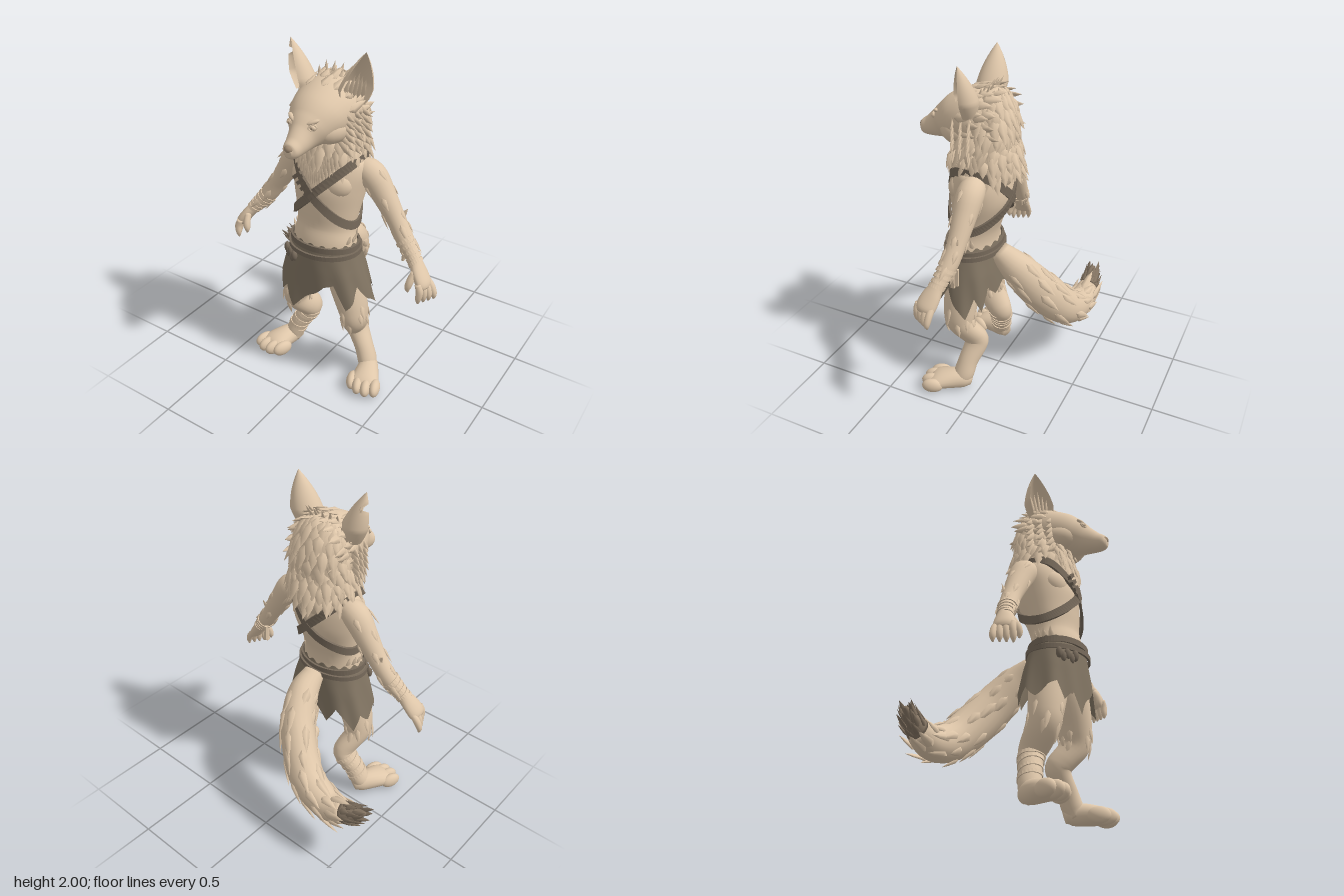
import * as THREE from 'three';
import { mergeGeometries } from 'three/addons/utils/BufferGeometryUtils.js';

const V = (x, y, z) => new THREE.Vector3(x, y, z);
const Y = V(0, 1, 0), Z = V(0, 0, 1);
const mat = (name, color) => new THREE.MeshStandardMaterial({ name, color, side: THREE.DoubleSide });

let seed = 7;
const rnd = () => (seed = (seed * 16807) % 2147483647) / 2147483647;

// Grid of points (rows x columns) to an indexed geometry
function grid(rows, cols, point, wrap) {
  const pos = [], idx = [];
  const n = wrap ? cols : cols + 1;
  for (let i = 0; i <= rows; i++)
    for (let j = 0; j < n; j++) pos.push(...point(i / rows, j / cols).toArray());
  for (let i = 0; i < rows; i++)
    for (let j = 0; j < cols; j++) {
      const a = i * n + j, b = i * n + (j + 1) % n;
      idx.push(a, b, a + n, b, b + n, a + n);
    }
  const g = new THREE.BufferGeometry();
  g.setAttribute('position', new THREE.Float32BufferAttribute(pos, 3));
  g.setIndex(idx);
  g.computeVertexNormals();
  return g;
}

// Smooth elliptical body along points [x, y, z, radiusU, radiusV]
function body(pts, ref) {
  const path = new THREE.CatmullRomCurve3(pts.map(p => V(p[0], p[1], p[2])), false, 'catmullrom');
  const size = new THREE.CatmullRomCurve3(pts.map(p => V(p[3], p[4] ?? p[3], 0)), false, 'catmullrom');
  const at = (t, a) => {
    const dir = path.getTangent(t), r = size.getPoint(t);
    const u = ref.clone().cross(dir).normalize(), v = dir.clone().cross(u);
    const c = Math.cos(a), s = Math.sin(a);
    const p = path.getPoint(t).addScaledVector(u, r.x * c).addScaledVector(v, r.y * s);
    return { p, dir, n: u.multiplyScalar(c).addScaledVector(v, s).normalize() };
  };
  // First and last rows close to the path, forming the end caps
  const geometry = (t0 = 0, t1 = 1, rows = 32, sides = 20) => grid(rows + 2, sides, (f, k) => {
    const row = Math.round(f * (rows + 2));
    if (row === 0) return path.getPoint(t0);
    if (row === rows + 2) return path.getPoint(t1);
    return at(t0 + (t1 - t0) * (row - 1) / rows, k * Math.PI * 2).p;
  }, true);
  return { at, geometry };
}

// Flat band of width w and thickness h following f(s) = { p, n }
function band(f, steps, w, h) {
  const corner = [[-0.5, 0], [0.5, 0], [0.5, 1], [-0.5, 1]];
  const g = grid(steps, 4, (s, k) => {
    const { p, n } = f(s), d = f(s + 0.002).p.clone().sub(f(s - 0.002).p).normalize();
    const c = corner[Math.round(k * 4) % 4], b = d.cross(n).normalize();
    return p.clone().addScaledVector(b, c[0] * w).addScaledVector(n, c[1] * h);
  }, true).toNonIndexed();
  g.computeVertexNormals();
  return g;
}

// Pointed lock of fur
const leaf = new THREE.LatheGeometry([[0, -0.2], [1, 0.1], [0.65, 0.6], [0, 1]].map(p => new THREE.Vector2(...p)), 5);
function lock(p, dir, n, len, w) {
  const y = dir.clone().normalize(), x = y.clone().cross(n).normalize(), z = x.clone().cross(y);
  const m = new THREE.Matrix4().makeBasis(x.multiplyScalar(w), y.multiplyScalar(len), z.multiplyScalar(w * 0.4));
  return leaf.clone().applyMatrix4(m.setPosition(p));
}

// Rows of locks over a body, lying along its direction (flow 1) or against it (flow -1)
function fur(surf, t0, t1, rows, per, len, w, lift, flow = 1) {
  const out = [];
  for (let i = 0; i < rows; i++)
    for (let j = 0; j < per; j++) {
      const t = t0 + (t1 - t0) * (i + rnd() * 0.5) / rows;
      const q = surf.at(t, (j + (i % 2) / 2 + (rnd() - 0.5) * 0.5) / per * Math.PI * 2);
      const d = q.dir.clone().multiplyScalar(flow).addScaledVector(q.n, lift * (0.5 + rnd()));
      out.push(lock(q.p, d, q.n, len * (0.75 + rnd() * 0.5), w));
    }
  return mergeGeometries(out);
}

export function createModel() {
  const M = {
    fur: mat('tan fur', 0xdfc7aa), nose: mat('brown nose', 0xa8927a), tip: mat('dark tail tip', 0x857563),
    cloth: mat('brown cloth', 0x817462), strap: mat('dark leather', 0x776a5b),
  };
  const root = new THREE.Group();
  root.name = 'wolfWarrior';
  root.position.x = 0.02;
  const add = (name, g, m = M.fur) => {
    const mesh = new THREE.Mesh(g, m);
    mesh.name = name;
    root.add(mesh);
    return mesh;
  };
  const ball = (name, p, r, m) => {
    const b = add(name, new THREE.SphereGeometry(1, 20, 14), m);
    b.position.set(...p);
    b.scale.set(...r);
    return b;
  };
  const side = (pts, s) => pts.map(p => [p[0] * s, ...p.slice(1)]);

  // Torso
  const torso = body([[0, 1.43, .07, .1, .09], [0, 1.4, .07, .2, .13], [0, 1.33, .08, .225, .155], [0, 1.22, .095, .21, .17],
    [0, 1.1, .115, .188, .147], [0, 1, .13, .175, .13], [0, .9, .145, .19, .14], [0, .78, .14, .17, .14], [0, .68, .13, .1, .09]], Z);
  add('torso', torso.geometry(0, 1, 48, 32));

  // Mane and ruff around the head and neck
  const mane = body([[0, 1.82, .06, .05], [0, 1.76, .04, .13, .11], [0, 1.65, .03, .165, .13], [0, 1.55, .055, .18, .165],
    [0, 1.45, .055, .178, .175], [0, 1.37, .055, .16, .155], [0, 1.29, .1, .1, .1]], Z);
  add('mane', mane.geometry());
  add('maneFur', fur(mane, .06, .8, 11, 18, .105, .032, .32));
  const ruff = [];
  for (let i = 0; i < 6; i++)
    for (let j = -3; j <= 3; j++)
      ruff.push(lock(V(j * (.04 - i * .006), 1.48 - i * .022, .225 + i * .003), V(j * .06, -1, .2), Z, .095, .024));
  for (let j = -4; j <= 4; j++) ruff.push(lock(V(j * .018, 1.8, .07 - (j & 1) * .03), V(j * .12, 1, -.5), Z, .07 + (j & 1) * .02, .018));
  add('chestRuff', mergeGeometries(ruff));

  // Wedge-shaped head and muzzle
  const head = body([[0, 1.68, -.06, .07, .08], [0, 1.68, 0, .15, .14], [0, 1.67, .1, .18, .163], [0, 1.65, .2, .162, .144],
    [0, 1.617, .28, .12, .112], [0, 1.588, .34, .076, .084], [0, 1.562, .4, .056, .06], [0, 1.55, .445, .043, .044], [0, 1.548, .466, .02, .022]], Y);
  add('head', head.geometry(0, 1, 48, 32));
  add('crownFur', fur(head, .13, .33, 4, 14, .09, .026, .18, -1));
  ball('nose', [0, 1.565, .448], [.029, .022, .024], M.nose);

  // Tail with a dark tip
  const tail = body([[.01, .86, -.01, .06], [0, .76, -.13, .09, .1], [-.07, .6, -.25, .1, .12], [-.22, .42, -.35, .1, .112],
    [-.4, .34, -.38, .086, .092], [-.55, .38, -.39, .058, .062], [-.67, .45, -.38, .01]], Y);
  add('tail', tail.geometry(0, .82));
  add('tailTip', tail.geometry(.82, 1, 10), M.tip);
  add('tailFur', fur(tail, .15, .8, 8, 6, .12, .026, .03));
  add('tailTipFur', fur(tail, .83, .95, 3, 8, .08, .018, .06), M.tip);

  for (const s of [-1, 1]) {
    const hand = s < 0 ? 'right' : 'left';
    const P = name => hand + name;

    // Ears, cupped and open to the front; the right one is notched
    const face = V(.6 * s, 0, .8), across = V(face.z, 0, -face.x);
    add(P('Ear'), grid(20, 24, (t, k) => {
      const w = .096 * (1 - Math.pow(t, 2.1)) * (.7 + .3 * Math.min(1, t / .3));
      const notch = s < 0 && k < .2 && Math.abs(t - .72) < .06 ? .65 : 1;
      const a = (k - .5) * 4.1 * notch;
      return V(s * (.145 + .08 * t), 1.72 + .28 * t, .11)
        .addScaledVector(across, w * Math.sin(a)).addScaledVector(face, -w * .9 * Math.cos(a));
    }));
    const tufts = [];
    for (let j = -2; j <= 2; j++) tufts.push(lock(V(s * .155, 1.77, .11).addScaledVector(across, j * .022), V(s * .3, 1, j * .05), Z, .13 - Math.abs(j) * .02, .016));

    // Cheek fur
    for (let i = 0; i < 6; i++)
      for (let j = 0; j < 3; j++)
        tufts.push(lock(V(s * (.168 - j * .016 - Math.abs(i - 3) * .006), 1.7 - i * .034, .08 + j * .055), V(s, -.55 - i * .1, -.25), Z, .105, .026));
    add(P('EarAndCheekFur'), mergeGeometries(tufts));
    ball(P('Cheek'), [s * .085, 1.6, .2], [.075, .075, .11]).rotation.y = -s * .4;

    // Eyes with lids, resting on the head
    const eye = head.at(.575, s > 0 ? .72 : Math.PI - .72).p;
    const onEye = (x, y, z) => [eye.x + s * x, eye.y + y, eye.z + z];
    ball(P('Eye'), onEye(0, 0, .002), [.018, .013, .011]);
    ball(P('Pupil'), onEye(0, 0, .01), [.006, .007, .004], M.nose);
    const lid = add(P('Eyelid'), new THREE.TorusGeometry(.02, .005, 8, 20));
    lid.position.set(...onEye(0, .001, .003));
    lid.rotation.set(-.2, s * .5, s * .3);
    lid.scale.y = .7;
    ball(P('Brow'), onEye(-.008, .024, -.01), [.038, .012, .015]).rotation.set(0, s * .5, s * .35);
    ball(P('ChestMuscle'), [s * .085, 1.28, .165], [.105, .09, .078]);

    // Arms
    const arm = body(side([[.16, 1.345, .05, .06], [.235, 1.32, .045, .076], [.31, 1.22, .045, .066], [.39, 1.1, .05, .053],
      [.46, 1, .065, .05], [.535, .915, .09, .036, .04], [.58, .86, .11, .033, .055], [.615, .81, .125, .032, .058], [.63, .785, .13, .02, .04]], s), Z);
    add(P('Arm'), arm.geometry());
    add(P('ArmFur'), fur(arm, .14, .6, 5, 3, .075, .017, .06));
    add(P('ElbowTuft'), lock(V(s * .41, 1.1, .03), V(s * .5, .9, -.2), Z, .07, .02));
    add(P('WristWrap'), band(q => {
      const a = arm.at(.5 + .16 * q, q * 28);
      return { p: a.p.addScaledVector(a.n, .001), n: a.n };
    }, 90, .02, .005));
    for (let j = 0; j < 4; j++) {
      const z = .085 + j * .029, x = .022 - j * .016;
      add(P('Finger'), body(side([[.605, .825, z, .018], [.632 + x * .5, .785, z + .004, .02], [.642 + x, .74, z + .008, .017],
        [.64 + x, .71, z + .008, .005]], s), Z).geometry(0, 1, 12, 10));
    }
    add(P('Thumb'), body(side([[.565, .87, .14, .02], [.555, .82, .17, .021], [.548, .785, .178, .017], [.55, .76, .178, .005]], s), Z).geometry(0, 1, 12, 10));

    // Bent hind-style legs and paws
    const leg = body(side([[.1, .82, .14, .085, .11], [.14, .68, .15, .1, .11], [.188, .52, .155, .086, .1], [.203, .42, .145, .07, .09],
      [.168, .32, .072, .062, .08], [.175, .27, .062, .06, .07], [.23, .18, .085, .054, .06], [.265, .1, .1, .055, .062], [.28, .05, .12, .05, .05]], s), Z);
    add(P('Leg'), leg.geometry(0, 1, 44, 24));
    add(P('LegFur'), fur(leg, .25, .4, 3, 4, .075, .018, .04));
    if (s < 0) add('shinWrap', band(q => {
      const a = leg.at(.6 + .24 * q, q * 26);
      return { p: a.p.addScaledVector(a.n, .001), n: a.n };
    }, 90, .022, .005));
    add(P('Foot'), body(side([[.255, .05, .055, .03, .035], [.27, .06, .085, .05, .055], [.29, .064, .13, .062, .062], [.32, .058, .21, .08, .055],
      [.335, .046, .26, .09, .044], [.34, .042, .285, .06, .03]], s), Y).geometry(0, 1, 20, 20));
    [[.257, .258], [.307, .275], [.358, .271], [.403, .245]].forEach(([x, z]) =>
      ball(P('Toe'), [s * x, .047, z], [.033, .046, .064]).rotation.y = s * .35);

    // Crossed chest straps running around the torso
    add(P('ShoulderStrap'), band(q => {
      const a = q * Math.PI * 2;
      let lo = .06, hi = .8;
      for (let i = 0; i < 24; i++) {
        const t = (lo + hi) / 2, p = torso.at(t, a).p;
        if (p.y - s * p.x * 1.05 > 1.225) lo = t; else hi = t;
      }
      const c = torso.at(lo, a);
      return { p: c.p.addScaledVector(c.n, .006), n: c.n };
    }, 80, .047, .014), M.strap);
  }

  // Strap loops
  for (let i = 0; i < 4; i++) {
    const b = add('strapLoop', new THREE.BoxGeometry(.06, .02, .02), M.strap);
    b.position.set(-.015 - i * .025, 1.24 + i * .027, .279 - i * .003);
    b.rotation.z = .75;
  }

  // Ragged skirt, growing squarish in plan below so that it clears the thighs
  const hem = [.58, .68, .6, .55, .7, .68, .6, .48, .6, .54, .64, .62, .56, .62, .52, .6, .66, .56, .66, .62, .68, .56, .64, .52];
  add('skirt', grid(12, 120, (v, k) => {
    const a = k * Math.PI * 2, f = k * 24, i = Math.floor(f) % 24;
    const low = THREE.MathUtils.lerp(hem[i], hem[(i + 1) % 24], f - Math.floor(f));
    const y = THREE.MathUtils.lerp(.925 + .01 * Math.sin(a * 17), low, v), drop = Math.max(0, (.925 - y) / .42);
    const fold = 1 + .03 * drop * Math.sin(a * 9 + drop * 3);
    const square = c => Math.sign(c) * Math.pow(Math.abs(c), 1 - .24 * Math.min(1, drop * 2.5));
    return V(square(Math.cos(a)) * (.194 + .106 * drop) * fold, y, .145 - .01 * drop + square(Math.sin(a)) * (.144 + .042 * drop) * fold);
  }, true), M.cloth);

  // Belts, fur over the waistband and hip pouch
  const waist = (a, y, grow) => V(Math.cos(a) * (.194 + grow), y, .145 + Math.sin(a) * (.144 + grow));
  [[.902, .004, .034], [.866, .016, .028]].forEach(([y, grow, w], i) => add('belt', band(q => {
    const a = -q * Math.PI * 2;
    return { p: waist(a, y + .008 * Math.sin(a + i * 2), grow), n: V(Math.cos(a), 0, Math.sin(a)) };
  }, 64, w, .012), M.strap));
  const waistFur = [];
  for (const a of [-.5, -.25, 0, .3, 2.85, 3.15, 3.4, 3.65])
    waistFur.push(lock(waist(a, .93, -.012), V(Math.cos(a) * .3, 1, 0), V(Math.cos(a), 0, Math.sin(a)), .05 + rnd() * .02, .016));
  add('waistFur', mergeGeometries(waistFur));
  for (let i = 0; i < 5; i++) ball('pouchBead', [-.2 + i * .022, .815 - (i % 2) * .02, .238 + i * .014], [.018, .032, .018], M.strap);

  // Loose wrap end hanging from the left wrist
  for (let i = 0; i < 2; i++) {
    const b = add('wrapEnd', new THREE.BoxGeometry(.014, .1, .022));
    b.position.set(.44 + i * .012, .92 - i * .015, .03 + i * .02);
    b.rotation.z = .08 - i * .16;
  }
  return root;
}
